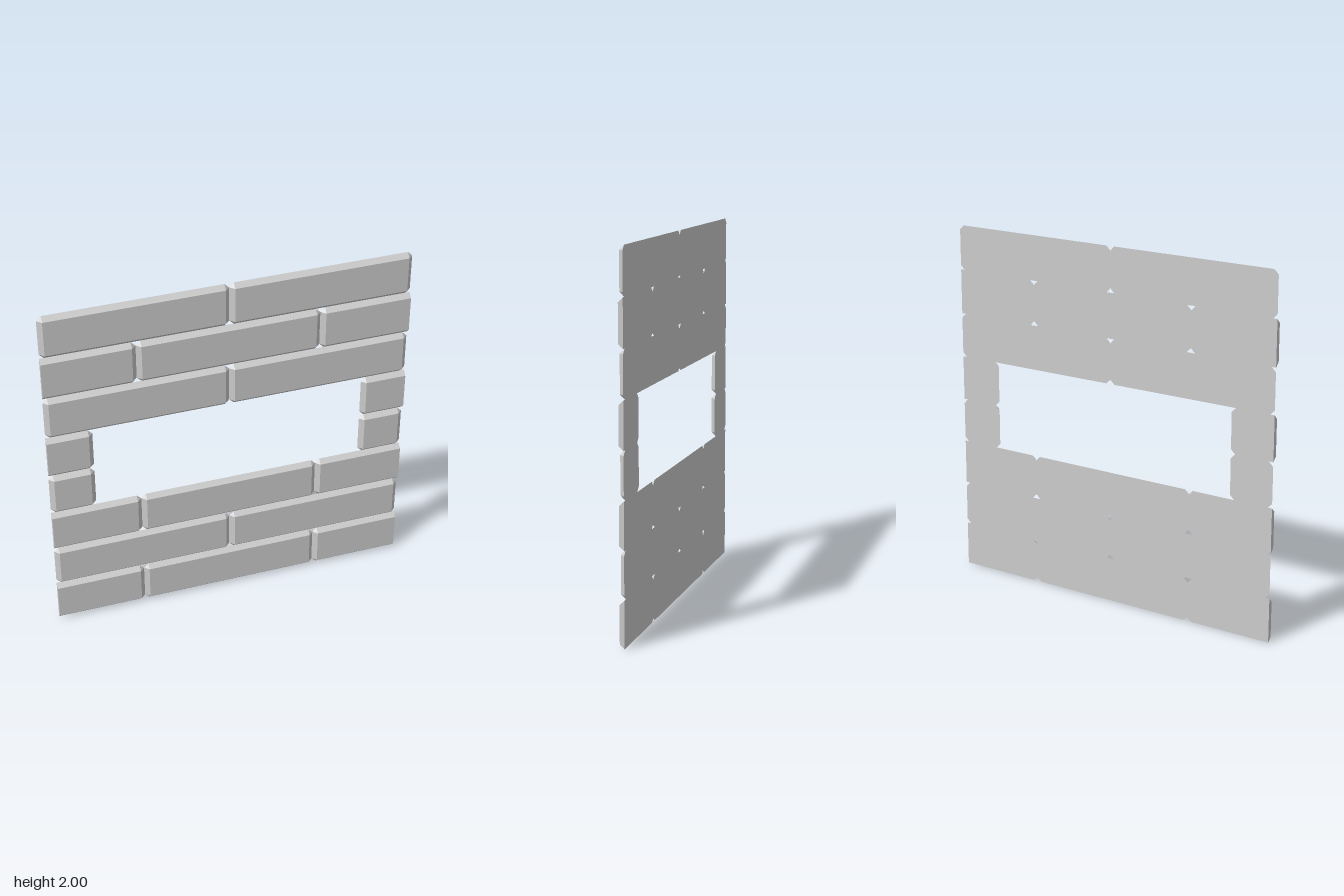
import * as THREE from 'three';
import { ConvexGeometry } from 'three/addons/geometries/ConvexGeometry.js';

const ROW = 0.25;      // course height
const BEVEL = 0.025;   // bevel width on the front edges
const HALF = 0.0125;   // half thickness

// Brick from x0 to x1: small front rectangle, wider back with clipped corners.
// An end with its bevel off is cut flat.
function brickGeometry(x0, x1, y0, bevelLeft, bevelRight) {
  const points = [];
  const ends = [[x0, 1, bevelLeft], [x1, -1, bevelRight]];
  const edges = [[y0, 1], [y0 + ROW, -1]];
  for (const [x, sx, bevelled] of ends) {
    const inset = bevelled ? sx * BEVEL : 0;
    for (const [y, sy] of edges) {
      points.push(new THREE.Vector3(x + inset, y + sy * BEVEL, HALF));
      points.push(new THREE.Vector3(x + inset, y, -HALF));
      if (bevelled) points.push(new THREE.Vector3(x, y + sy * BEVEL, -HALF));
    }
  }
  return new ConvexGeometry(points);
}

export function createModel() {
  const wall = new THREE.Group();
  wall.name = 'brickWallWithWindow';
  const material = new THREE.MeshStandardMaterial({ color: 0xcccccc, flatShading: true });

  // Brick spans of each kind of course
  const staggered = [[-1, -0.5], [-0.5, 0.5], [0.5, 1]];
  const paired = [[-1, 0], [0, 1]];
  const windowSides = [[-1, -0.75], [0.75, 1]];

  // Courses from the bottom up; even ones are cut flat at the wall ends
  const courses = [staggered, paired, staggered, windowSides,
    windowSides, paired, staggered, paired];
  courses.forEach((spans, row) => {
    const course = new THREE.Group();
    course.name = `course${row + 1}`;
    const flatEnds = row % 2 === 0;
    spans.forEach(([x0, x1], i) => {
      const geometry = brickGeometry(x0, x1, row * ROW,
        !(flatEnds && x0 === -1), !(flatEnds && x1 === 1));
      const brick = new THREE.Mesh(geometry, material);
      brick.name = `brick${i + 1}`;
      course.add(brick);
    });
    wall.add(course);
  });
  return wall;
}
